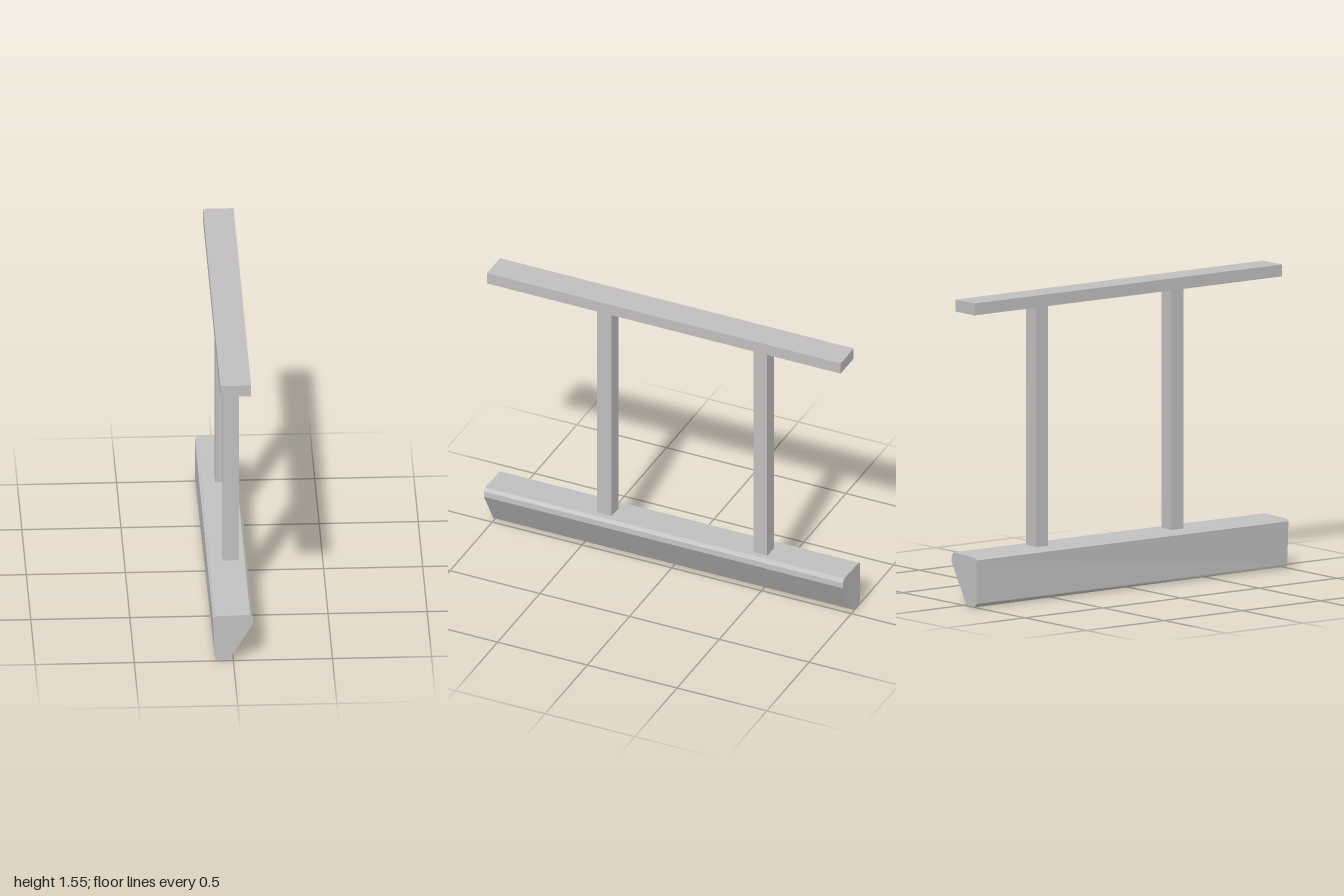
import * as THREE from 'three';

const wood = new THREE.MeshStandardMaterial({ color: 0xc0bebe, flatShading: true });
wood.name = 'light grey';
const stone = new THREE.MeshStandardMaterial({ color: 0xc0c0c0, flatShading: true });
stone.name = 'neutral grey';

// Box given by its lower and upper limits on each axis
function block(name, [x0, x1], [y0, y1], [z0, z1]) {
  const mesh = new THREE.Mesh(new THREE.BoxGeometry(x1 - x0, y1 - y0, z1 - z0), wood);
  mesh.position.set((x0 + x1) / 2, (y0 + y1) / 2, (z0 + z1) / 2);
  mesh.name = name;
  return mesh;
}

// Wedge beam lofted between a front and a slightly wider back section
function beamGeometry() {
  const front = [[-0.09, 0.008], [-0.03, 0.005], [-0.012, 0.018], [0.1, 0.21],
    [0.098, 0.24], [0.085, 0.257], [-0.09, 0.252], [-0.103, 0.24]];
  const back = [[-0.086, 0], [-0.03, 0.005], [-0.012, 0.018], [0.1, 0.21],
    [0.098, 0.24], [0.085, 0.26], [-0.09, 0.252], [-0.105, 0.242], [-0.105, 0.02]];
  front.push([-0.093, 0.02]);
  const n = front.length;
  const pos = [...front.flatMap(([x, y]) => [x, y, 1]), ...back.flatMap(([x, y]) => [x, y, -1])];
  const index = [];
  for (let i = 0; i < n; i++) {
    const j = (i + 1) % n;
    index.push(i, n + i, j, j, n + i, n + j);
  }
  // End caps
  for (let i = 1; i < n - 1; i++) index.push(0, i, i + 1, n, n + i + 1, n + i);
  const g = new THREE.BufferGeometry();
  g.setAttribute('position', new THREE.Float32BufferAttribute(pos, 3));
  g.setIndex(index);
  const flat = g.toNonIndexed();
  flat.computeVertexNormals();
  return flat;
}

export function createModel() {
  const model = new THREE.Group();
  model.name = 'railing';

  const beam = new THREE.Mesh(beamGeometry(), stone);
  beam.name = 'baseBeam';
  model.add(beam);

  // Two posts carrying the handrail
  model.add(block('frontPost', [-0.025, 0.055], [0.24, 1.487], [0.31, 0.39]));
  model.add(block('backPost', [-0.025, 0.055], [0.24, 1.487], [-0.557, -0.48]));
  model.add(block('handrail', [-0.065, 0.09], [1.487, 1.548], [-0.983, 0.988]));
  return model;
}
